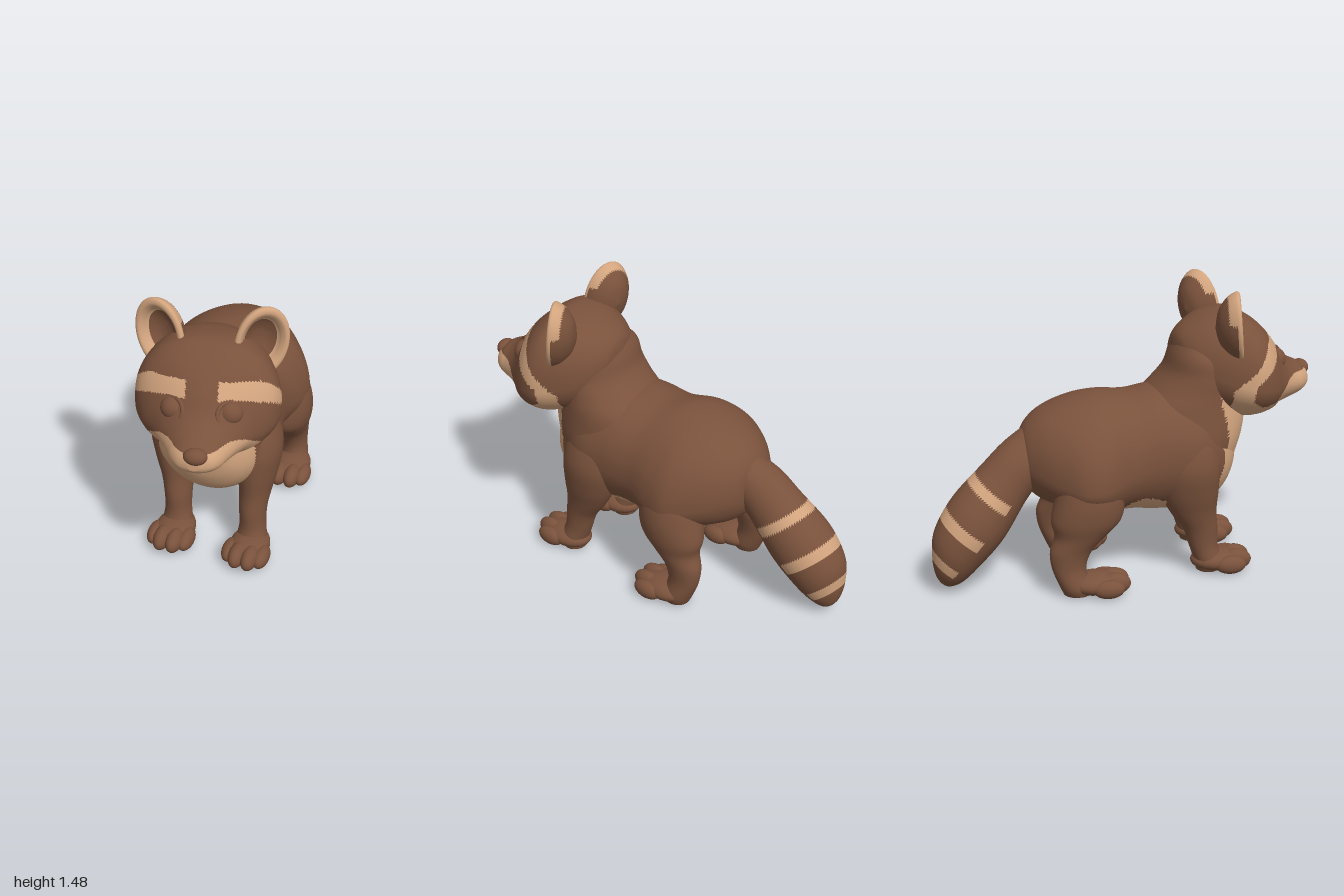
import * as THREE from 'three';

const brown = new THREE.MeshStandardMaterial({ color: 0x7a523c });
brown.name = 'brown fur';
const tan = new THREE.MeshStandardMaterial({ color: 0xd2a47e });
tan.name = 'tan fur';

// Smoothly interpolated row of a cross-section table
function sample(rows, u) {
  const f = u * (rows.length - 1);
  const i = Math.min(Math.floor(f), rows.length - 2);
  const t = f - i;
  const at = k => rows[Math.max(0, Math.min(rows.length - 1, k))];
  const [a, b, c, d] = [at(i - 1), at(i), at(i + 1), at(i + 2)];
  return b.map((p, k) => p + 0.5 * t * (c[k] - a[k]
    + t * (2 * a[k] - 5 * p + 4 * c[k] - d[k] + t * (3 * (p - c[k]) + d[k] - a[k]))));
}

// Closed skin through rings; ring(row, cos, sin) gives one point
function loft(rows, ring, steps, segs) {
  const pos = [], index = [];
  for (let i = 0; i <= steps; i++) {
    const row = sample(rows, i / steps);
    for (let j = 0; j < segs; j++) {
      const a = (j / segs) * Math.PI * 2;
      pos.push(...ring(row, Math.cos(a), Math.sin(a)));
    }
  }
  for (let i = 0; i < steps; i++) for (let j = 0; j < segs; j++) {
    const a = i * segs + j, b = i * segs + (j + 1) % segs;
    index.push(a, b, a + segs, b, b + segs, a + segs);
  }
  // end caps
  for (const [start, flip] of [[0, true], [steps * segs, false]]) {
    const c = [0, 0, 0], centre = pos.length / 3;
    for (let j = 0; j < segs; j++) for (let k = 0; k < 3; k++) c[k] += pos[(start + j) * 3 + k] / segs;
    pos.push(...c);
    for (let j = 0; j < segs; j++) {
      const a = start + j, b = start + (j + 1) % segs;
      index.push(centre, flip ? b : a, flip ? a : b);
    }
  }
  // turn the faces outward if the volume is negative
  const p = i => new THREE.Vector3().fromArray(pos, i * 3);
  let volume = 0;
  for (let i = 0; i < index.length; i += 3) volume += p(index[i]).dot(p(index[i + 1]).cross(p(index[i + 2])));
  if (volume < 0) index.reverse();
  const geo = new THREE.BufferGeometry();
  geo.setAttribute('position', new THREE.Float32BufferAttribute(pos, 3));
  geo.setIndex(index);
  geo.computeVertexNormals();
  return geo;
}

// Sort faces into brown and tan groups by a rule on their centres
function paint(geo, isTan) {
  const p = geo.attributes.position, idx = geo.index.array, sets = [[], []];
  for (let i = 0; i < idx.length; i += 3) {
    const t = [idx[i], idx[i + 1], idx[i + 2]];
    const mid = get => (get(t[0]) + get(t[1]) + get(t[2])) / 3;
    const hit = isTan(mid(k => p.getX(k)), mid(k => p.getY(k)), mid(k => p.getZ(k)));
    sets[hit ? 1 : 0].push(...t);
  }
  geo.setIndex([...sets[0], ...sets[1]]);
  geo.addGroup(0, sets[0].length, 0);
  geo.addGroup(sets[0].length, sets[1].length, 1);
  return geo;
}

function add(parent, name, geo, material) {
  const mesh = new THREE.Mesh(geo, material);
  mesh.name = name;
  parent.add(mesh);
  return mesh;
}

function ball(parent, name, material, [x, y, z], [rx, ry, rz]) {
  const mesh = add(parent, name, new THREE.SphereGeometry(1, 22, 16), material);
  mesh.position.set(x, y, z);
  mesh.scale.set(rx, ry, rz);
}

function inside(poly, x, y) {
  let hit = false;
  poly.forEach(([x1, y1], i) => {
    const [x2, y2] = poly[(i + 1) % poly.length];
    if ((y1 > y) !== (y2 > y) && x < x1 + ((y - y1) * (x2 - x1)) / (y2 - y1)) hit = !hit;
  });
  return hit;
}

// Upright section: z, top, widest height, bottom, half width, squareness of the upper half, centre x
function upright([z, top, mid, bottom, hw, n, cx = 0], c, s) {
  const power = 2 / (s > 0 ? n : Math.min(n, 2));
  const bend = v => Math.sign(v) * Math.abs(v) ** power;
  return [cx + hw * bend(c), mid + (s > 0 ? top - mid : mid - bottom) * bend(s), z];
}

function buildTorso(root) {
  const torso = [
    [0.57, 0.69, 0.64, 0.59, 0.05, 2, 0.05], [0.55, 0.77, 0.63, 0.51, 0.14, 2, 0.05],
    [0.50, 0.87, 0.63, 0.42, 0.22, 2.1, 0.04], [0.42, 0.94, 0.63, 0.355, 0.27, 2.2, 0.03],
    [0.30, 0.97, 0.64, 0.33, 0.315, 2.2, 0.025], [0.15, 0.975, 0.65, 0.33, 0.315, 2.2, 0.01],
    [0.00, 0.96, 0.62, 0.355, 0.325, 2.1, -0.01], [-0.14, 0.975, 0.58, 0.37, 0.38, 2, -0.038],
    [-0.26, 0.96, 0.57, 0.39, 0.385, 2, -0.038], [-0.38, 0.92, 0.60, 0.42, 0.31, 2.1, -0.035],
    [-0.47, 0.87, 0.63, 0.46, 0.225, 2.1, -0.035], [-0.53, 0.80, 0.65, 0.53, 0.14, 2, -0.04],
    [-0.55, 0.70, 0.65, 0.61, 0.04, 2, -0.04]];
  // tan chest and belly
  add(root, 'torso', paint(loft(torso, upright, 96, 96), (x, y, z) =>
    (z > 0.45 && Math.abs(x - 0.045) < 0.25)
    || (z > -0.07 && Math.abs(x) < 0.27 && y < 0.47 - 3 * Math.min(Math.abs(z - 0.06), 0.14) ** 2)), [brown, tan]);

  // neck: height, front z, back z, half width, centre x
  const neck = [
    [0.52, 0.545, 0.10, 0.24, 0.04], [0.62, 0.575, 0.06, 0.275, 0.035], [0.72, 0.605, 0.03, 0.285, 0.035],
    [0.82, 0.62, 0.02, 0.275, 0.04], [0.90, 0.61, 0.055, 0.265, 0.045], [0.97, 0.60, 0.13, 0.255, 0.05],
    [1.05, 0.58, 0.205, 0.25, 0.055], [1.14, 0.55, 0.24, 0.235, 0.06], [1.22, 0.5, 0.28, 0.15, 0.07]];
  const ring = ([y, f, b, hw, cx], c, s) => [cx + hw * c, y, (f + b) / 2 + ((f - b) / 2) * s];
  add(root, 'neck', paint(loft(neck, ring, 50, 84), (x, y, z) =>
    z > 0.455 && Math.abs(x - 0.05) < 0.24), [brown, tan]);
}

function buildHead(root) {
  const head = new THREE.Group();
  head.name = 'head';
  head.position.set(0.09, 0, 0.55);
  head.rotation.y = 0.185;
  root.add(head);

  const skull = [
    [-0.30, 1.17, 1.13, 1.08, 0.03, 2], [-0.28, 1.23, 1.11, 0.98, 0.13, 2],
    [-0.22, 1.28, 1.07, 0.88, 0.22, 2.2], [-0.12, 1.325, 1.03, 0.83, 0.295, 2.4],
    [0.00, 1.34, 1.00, 0.79, 0.342, 2.4], [0.08, 1.305, 0.985, 0.785, 0.335, 2.4],
    [0.15, 1.25, 0.97, 0.795, 0.295, 2.1], [0.21, 1.185, 0.96, 0.81, 0.235, 1.8],
    [0.27, 1.10, 0.95, 0.822, 0.183, 1.8], [0.33, 1.05, 0.94, 0.84, 0.145, 1.9],
    [0.38, 1.025, 0.935, 0.86, 0.118, 2], [0.42, 0.995, 0.935, 0.89, 0.08, 2],
    [0.44, 0.96, 0.935, 0.915, 0.025, 2]];
  // side outlines (z, y) of the pale face and of the dark mask on it
  const face = [[0.26, 1.225], [0.17, 1.22], [0.1, 1.2], [0.02, 1.1], [-0.1, 0.99], [-0.09, 0.9], [-0.04, 0.7],
    [0.5, 0.7], [0.5, 1.225]];
  const mask = [[0.5, 1.155], [0.2, 1.15], [0.14, 1.11], [0.005, 1.01], [0.0, 0.93], [0.06, 0.89],
    [0.15, 0.895], [0.21, 0.94], [0.26, 0.98], [0.31, 0.995], [0.5, 0.99]];
  add(head, 'skull', paint(loft(skull, upright, 130, 140), (x, y, z) =>
    inside(face, z, y) && !inside(mask, z, y)
    && !(Math.abs(x) < (z > 0.28 ? 0.05 : 0.075) && y > 0.985)), [brown, tan]);

  ball(head, 'nose', brown, [0.006, 0.98, 0.415], [0.056, 0.04, 0.042]);
  ball(head, 'chin', tan, [0, 0.875, 0.33], [0.075, 0.035, 0.06]);

  // ear cup: radius, depth, from the back over the rim to the inside
  const cup = [[0.02, -0.9], [0.5, -0.75], [0.85, -0.4], [1, -0.05], [0.98, 0.1], [0.85, 0.13],
    [0.72, 0], [0.6, -0.2], [0.3, -0.4], [0.02, -0.45]];
  for (const s of [1, -1]) {
    const side = s > 0 ? 'left' : 'right';
    ball(head, side + 'Eye', brown, [s * 0.13, 1.082, 0.2], [0.062, 0.06, 0.056]);
    const lid = add(head, side + 'EyeRim', new THREE.TorusGeometry(0.06, 0.011, 10, 36), brown);
    lid.position.set(s * 0.132, 1.086, 0.226);
    lid.rotation.set(-0.45, s * 0.55, 0, 'YXZ');

    const geo = loft(cup, ([r, h], c, v) => [r * c * 0.128, r * v * 0.182, h * 0.125], 45, 64);
    const ear = add(head, side + 'Ear', paint(geo, (x, y, z) => {
      const r = Math.hypot(x / 0.128, y / 0.182), h = z / 0.125;
      return r > 0.6 && ((h > -0.2 && (r < 0.93 || h > -0.06)) || (y > 0.06 && h > -0.36));
    }), [brown, tan]);
    ear.position.set(s * 0.236, 1.302, -0.055);
    ear.rotation.set(-0.08, s * 0.38, -s * 0.2, 'YXZ');
  }
}

// Paw with four toes
function buildPaw(root, name, x, z) {
  const paw = new THREE.Group();
  paw.name = name;
  paw.position.set(x, 0, z);
  root.add(paw);
  ball(paw, 'pawPad', brown, [0, 0.064, 0], [0.102, 0.058, 0.14]);
  for (const s of [1, -1]) {
    ball(paw, 'innerToe', brown, [s * 0.033, 0.064, 0.09], [0.044, 0.056, 0.083]);
    ball(paw, 'outerToe', brown, [s * 0.082, 0.056, 0.055], [0.041, 0.048, 0.08]);
  }
}

function buildLegs(root) {
  // height, distance from the middle, half width, z, half depth
  const front = [
    [0.82, 0.17, 0.06, 0.28, 0.10], [0.74, 0.195, 0.10, 0.28, 0.15], [0.60, 0.222, 0.112, 0.285, 0.165],
    [0.46, 0.215, 0.102, 0.30, 0.15], [0.35, 0.207, 0.082, 0.325, 0.12], [0.25, 0.20, 0.070, 0.365, 0.09],
    [0.15, 0.20, 0.067, 0.385, 0.075], [0.06, 0.20, 0.08, 0.415, 0.075], [0.015, 0.20, 0.065, 0.41, 0.06]];
  const hind = [
    [0.76, 0.17, 0.06, -0.21, 0.09], [0.70, 0.20, 0.11, -0.21, 0.13], [0.61, 0.235, 0.135, -0.215, 0.16],
    [0.50, 0.253, 0.142, -0.225, 0.175], [0.40, 0.265, 0.125, -0.245, 0.175], [0.32, 0.272, 0.098, -0.275, 0.13],
    [0.24, 0.28, 0.074, -0.325, 0.105], [0.15, 0.285, 0.064, -0.335, 0.085], [0.06, 0.29, 0.075, -0.305, 0.08],
    [0.015, 0.29, 0.062, -0.295, 0.07]];
  for (const s of [1, -1]) {
    const side = s > 0 ? 'left' : 'right';
    const leg = shift => ([y, off, rx, z, rz], c, v) => [shift(y) + s * off + rx * c, y, z + rz * v];
    add(root, side + 'FrontLeg', loft(front, leg(y => 0.065 - 0.055 * y), 45, 40), brown);
    add(root, side + 'HindLeg', loft(hind, leg(() => -0.03), 45, 40), brown);
    buildPaw(root, side + 'FrontPaw', 0.064 + s * 0.2, 0.46);
    buildPaw(root, side + 'HindPaw', -0.025 + s * 0.292, -0.215 - s * 0.012);
  }
}

function buildTail(root) {
  // centre x, y, z and radius
  const tail = [
    [-0.04, 0.76, -0.40, 0.11], [-0.08, 0.66, -0.52, 0.132], [-0.105, 0.55, -0.625, 0.142],
    [-0.14, 0.38, -0.765, 0.165], [-0.16, 0.235, -0.875, 0.145], [-0.17, 0.13, -0.925, 0.10],
    [-0.17, 0.07, -0.95, 0.05], [-0.17, 0.05, -0.955, 0.008]];
  const ring = ([x, y, z, r], c, s) => [x + r * c, y + 0.65 * r * s, z - 0.76 * r * s];
  // pale bands, open on the underside
  const bands = [[0.04, 0.093], [0.255, 0.315], [0.455, 0.505]];
  add(root, 'tail', paint(loft(tail, ring, 120, 68), (x, y, z) => {
    const along = -0.65 * z - 0.76 * y, height = -0.76 * z + 0.65 * y;
    return height > 0.765 && bands.some(([a, b]) => along > a && along < b);
  }), [brown, tan]);
}

export function createModel() {
  const root = new THREE.Group();
  root.name = 'animal';
  buildTorso(root);
  buildHead(root);
  buildLegs(root);
  buildTail(root);
  return root;
}
